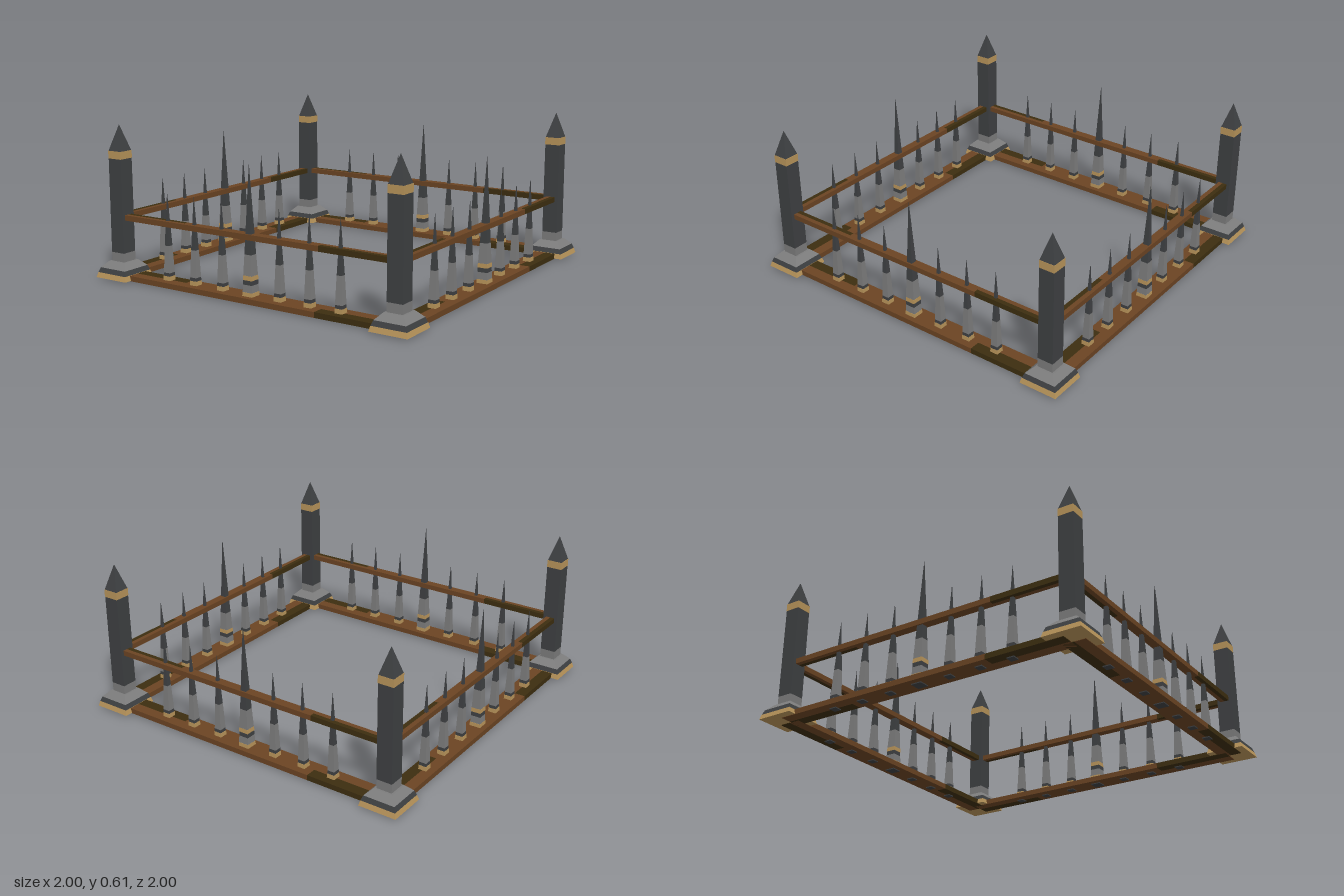
import * as THREE from 'three';

const mat = (name, color) => {
  const m = new THREE.MeshStandardMaterial({ color });
  m.name = name;
  return m;
};

export function createModel() {
  const iron = mat('darkIron', 0x3e4042);
  const steel = mat('wornSteel', 0x7c7c7c);
  const gold = mat('gold', 0xb8945a);
  const wood = mat('brownWood', 0x6b4423);
  const darkWood = mat('darkWood', 0x3d2e10);

  const HALF = 0.629; // half the side of the square

  // Square frustum with flat faces; r values are half diagonals.
  function frustum(parent, name, material, r0, r1, y0, y1) {
    const cyl = new THREE.CylinderGeometry(r1, r0, y1 - y0, 4, 1, false, Math.PI / 4);
    const geo = cyl.toNonIndexed();
    geo.computeVertexNormals();
    const mesh = new THREE.Mesh(geo, material);
    mesh.name = name;
    mesh.position.y = (y0 + y1) / 2;
    parent.add(mesh);
  }

  // Stack of frusta from rows of [material, r0, r1, y0, y1].
  function stack(name, rows) {
    const g = new THREE.Group();
    g.name = name;
    rows.forEach((row, i) => frustum(g, `${name}Section${i + 1}`, ...row));
    return g;
  }

  // Plank of two lengthwise strips, each with a dark stained end.
  function plank(name, width, y0, y1) {
    const g = new THREE.Group();
    g.name = name;
    const strip = (x0, x1, z, material) => {
      const mesh = new THREE.Mesh(new THREE.BoxGeometry(x1 - x0, y1 - y0, width / 2), material);
      mesh.name = name + 'Strip';
      mesh.position.set((x0 + x1) / 2, (y0 + y1) / 2, z);
      g.add(mesh);
    };
    const stain = 0.31, end = 0.62;
    strip(-end, stain, width / 4, wood);
    strip(stain, end, width / 4, darkWood);
    strip(-end, -stain, -width / 4, darkWood);
    strip(-stain, end, -width / 4, wood);
    g.position.z = HALF;
    return g;
  }

  const makePost = () => stack('cornerPost', [
    [gold, 0.108, 0.1, 0.006, 0.026],
    [iron, 0.1, 0.09, 0.026, 0.045],
    [steel, 0.09, 0.055, 0.045, 0.07],
    [steel, 0.0445, 0.0445, 0.07, 0.105],
    [iron, 0.0445, 0.0435, 0.105, 0.475],
    [gold, 0.0445, 0.0445, 0.475, 0.505],
    [iron, 0.043, 0.0005, 0.505, 0.605],
  ]);

  const makeShortSpike = () => stack('shortSpike', [
    [iron, 0.021, 0.022, 0, 0.024],
    [gold, 0.023, 0.022, 0.024, 0.042],
    [iron, 0.021, 0.0205, 0.042, 0.055],
    [steel, 0.0205, 0.0145, 0.055, 0.16],
    [iron, 0.0145, 0.0005, 0.16, 0.362],
  ]);

  const makeTallSpike = () => stack('tallSpike', [
    [iron, 0.03, 0.031, 0, 0.024],
    [gold, 0.032, 0.031, 0.024, 0.04],
    [steel, 0.03, 0.0285, 0.04, 0.068],
    [iron, 0.0285, 0.0275, 0.068, 0.085],
    [gold, 0.0285, 0.0275, 0.085, 0.102],
    [steel, 0.027, 0.0215, 0.102, 0.18],
    [iron, 0.0215, 0.0005, 0.18, 0.508],
  ]);

  // One fence side: post, two planks and a row of spikes.
  function makeSide() {
    const side = new THREE.Group();
    side.name = 'fenceSide';
    const post = makePost();
    post.position.set(-HALF, 0, HALF);
    side.add(post, plank('baseBeam', 0.088, 0.004, 0.025), plank('topRail', 0.036, 0.235, 0.256));
    for (let i = -3; i <= 3; i++) {
      const spike = i === 0 ? makeTallSpike() : makeShortSpike();
      spike.position.set(i * 0.131, 0, HALF);
      side.add(spike);
    }
    return side;
  }

  const model = new THREE.Group();
  model.name = 'spikedFence';
  for (let k = 0; k < 4; k++) {
    const side = makeSide();
    side.rotation.y = Math.PI / 4 + (k * Math.PI) / 2;
    model.add(side);
  }
  return model;
}
